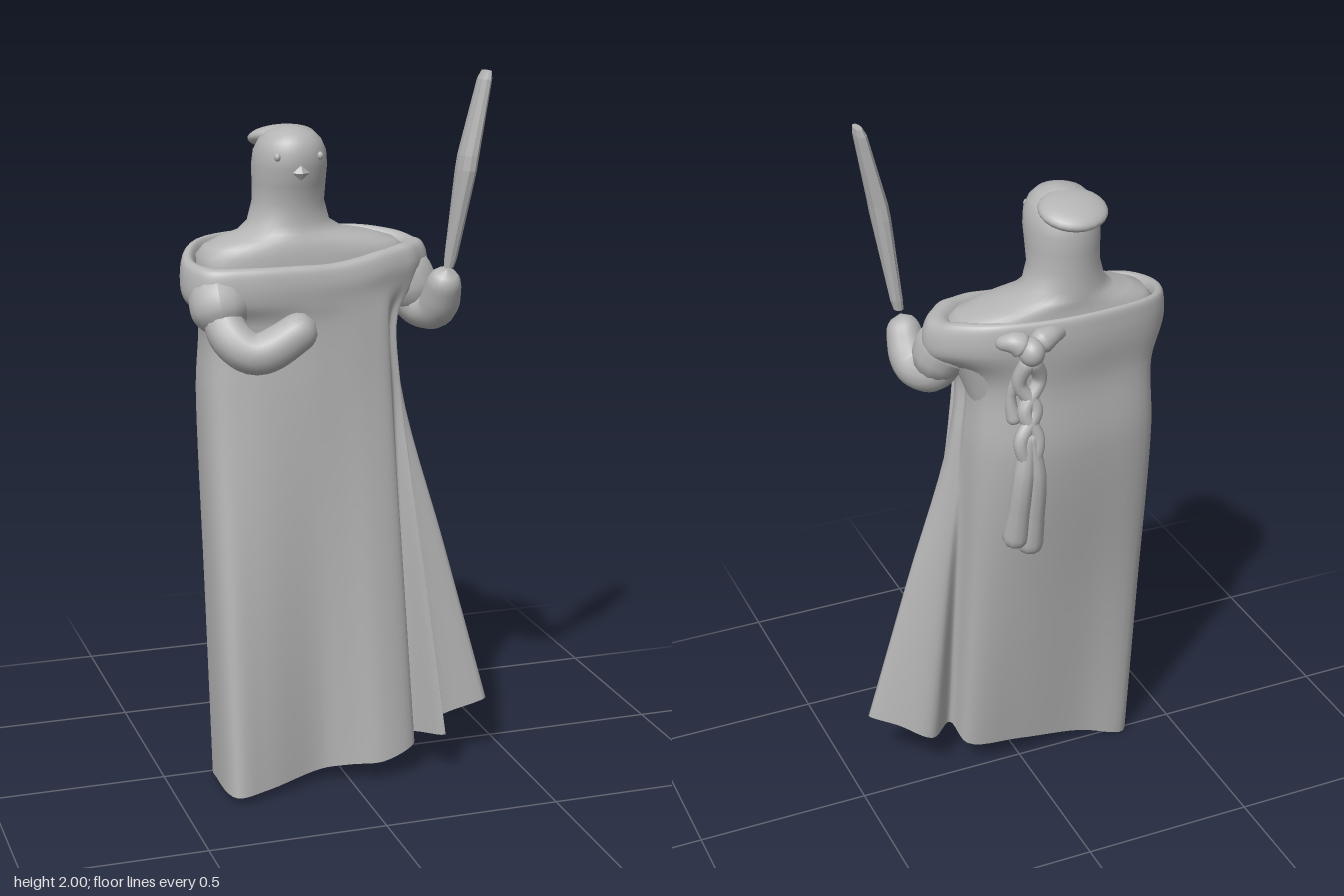
import * as THREE from 'three';

const V = (p) => new THREE.Vector3(...p);
const clay = new THREE.MeshStandardMaterial({ color: 0xb4b4b4 });
clay.name = 'clay grey';
const cloth = new THREE.MeshStandardMaterial({ color: 0xb4b4b4, side: THREE.DoubleSide });
cloth.name = 'cloth grey';

function add(parent, name, geometry, material = clay) {
  const mesh = new THREE.Mesh(geometry, material);
  mesh.name = name;
  parent.add(mesh);
  return mesh;
}

// Skin joining closed rings of points, optionally closed at both ends
function loft(rings, capped = true) {
  const n = rings[0].length, pos = [], idx = [];
  rings.forEach((r) => r.forEach((p) => pos.push(p.x, p.y, p.z)));
  for (let r = 0; r < rings.length - 1; r++) {
    for (let i = 0; i < n; i++) {
      const a = r * n + i, b = r * n + (i + 1) % n;
      idx.push(a, a + n, b, b, a + n, b + n);
    }
  }
  if (capped) {
    const last = (rings.length - 1) * n;
    for (let i = 1; i < n - 1; i++) {
      idx.push(0, i, i + 1, last, last + i + 1, last + i);
    }
  }
  const g = new THREE.BufferGeometry();
  g.setAttribute('position', new THREE.Float32BufferAttribute(pos, 3));
  g.setIndex(idx);
  g.computeVertexNormals();
  return g;
}

// Horizontal oval ring: [y, centre x, centre z, half width, half depth, squareness (1 = round)]
function oval([y, cx, cz, rx, rz, k = 1], n = 36) {
  const bend = (v) => Math.sign(v) * Math.abs(v) ** k;
  return Array.from({ length: n }, (_, i) => {
    const a = i / n * Math.PI * 2;
    return new THREE.Vector3(cx + rx * bend(Math.cos(a)), y, cz + rz * bend(Math.sin(a)));
  });
}

// Round-ended tube whose radius follows a list of values
function limb(points, radii, steps = 28, sides = 14) {
  const curve = new THREE.CatmullRomCurve3(points.map(V));
  const g = new THREE.TubeGeometry(curve, steps, 1, sides);
  const p = g.attributes.position, length = curve.getLength();
  for (let i = 0; i < p.count; i++) {
    const t = Math.floor(i / (sides + 1)) / steps;
    const c = curve.getPointAt(t), f = t * (radii.length - 1);
    const k = Math.min(Math.floor(f), radii.length - 2);
    let r = THREE.MathUtils.lerp(radii[k], radii[k + 1], f - k);
    const d = Math.min(t, 1 - t) * length;
    if (d < r) r = Math.sqrt(Math.max(0, r * r - (r - d) ** 2));
    const v = new THREE.Vector3().fromBufferAttribute(p, i).sub(c).multiplyScalar(r).add(c);
    p.setXYZ(i, v.x, v.y, v.z);
  }
  g.computeVertexNormals();
  return g;
}

function ball(parent, name, at, size) {
  const m = add(parent, name, new THREE.SphereGeometry(1, 24, 16));
  m.position.set(...at);
  m.scale.set(...size);
  return m;
}

// Robe outlines, running from the right side across the front to the left and back
const RIM = [
  [-0.43, 1.5, 0.03], [-0.39, 1.49, 0.13], [-0.27, 1.49, 0.165], [-0.12, 1.49, 0.17], [-0.03, 1.49, 0.165],
  [0.06, 1.5, 0.155], [0.12, 1.51, 0.14], [0.17, 1.515, 0.12], [0.21, 1.52, 0.1], [0.24, 1.52, 0.07],
  [0.265, 1.52, 0.04], [0.28, 1.52, 0], [0.275, 1.52, -0.03], [0.25, 1.53, -0.075], [0.16, 1.54, -0.15],
  [0.04, 1.54, -0.185], [-0.16, 1.54, -0.19], [-0.36, 1.53, -0.13]];
const WAIST = [
  [-0.38, 1.12, 0], [-0.36, 1.12, 0.1], [-0.27, 1.12, 0.14], [-0.12, 1.12, 0.16], [-0.03, 1.12, 0.16],
  [0.06, 1.12, 0.155], [0.13, 1.12, 0.14], [0.145, 1.12, 0.115], [0.17, 1.12, 0.11], [0.16, 1.12, 0.085],
  [0.185, 1.12, 0.065], [0.19, 1.12, 0.03], [0.175, 1.12, 0.01], [0.175, 1.12, -0.015], [0.155, 1.12, -0.1],
  [0.05, 1.12, -0.17], [-0.16, 1.12, -0.175], [-0.34, 1.12, -0.13]];
const HEM = [
  [-0.37, 0.02, 0.1], [-0.35, 0.02, 0.25], [-0.25, 0.025, 0.23], [-0.08, 0.04, 0.17], [0, 0.05, 0.19],
  [0.09, 0.06, 0.22], [0.19, 0.09, 0.19], [0.2, 0.1, 0.13], [0.265, 0.13, 0.245], [0.27, 0.14, 0.15],
  [0.43, 0.18, 0.135], [0.36, 0.17, 0.065], [0.27, 0.125, 0.025], [0.19, 0.12, 0.085], [0.165, 0.085, 0.01],
  [0, 0.06, 0], [-0.2, 0.03, 0], [-0.34, 0, -0.02]];

function robeGeometry() {
  const scaled = (p, s, dy) => new THREE.Vector3(-0.17 + (p[0] + 0.17) * s, p[1] + dy, -0.07 + (p[2] + 0.07) * s);
  const columns = RIM.map((p, i) => new THREE.CatmullRomCurve3([
    // lining, collar lip, then the skirt
    scaled(p, 0.8, -0.12), scaled(p, 0.81, -0.03), scaled(p, 0.88, 0), scaled(p, 0.96, -0.005),
    scaled(p, 1, -0.045), scaled(p, 0.985, -0.1),
    new THREE.Vector3(WAIST[i][0] * 0.97 - 0.005, 1.33, WAIST[i][2] * 0.98),
    V(WAIST[i]),
    V(WAIST[i]).lerp(V(HEM[i]), 0.5),
    V(HEM[i])]));
  const rings = [];
  for (let r = 0; r <= 54; r++) {
    const outline = new THREE.CatmullRomCurve3(columns.map((c) => c.getPoint(r / 54)), true);
    rings.push(outline.getPoints(108).slice(0, 108));
  }
  return loft(rings, false);
}

export function createModel() {
  const model = new THREE.Group();
  model.name = 'robedFigure';

  add(model, 'robe', robeGeometry(), cloth);

  // Torso, shoulders, neck and head as one smooth skin
  add(model, 'body', loft([
    [0.9, -0.1, -0.01, 0.22, 0.1, 0.8], [1.2, -0.1, -0.03, 0.23, 0.11, 0.8], [1.38, -0.08, -0.03, 0.28, 0.115, 0.75],
    [1.46, -0.075, -0.03, 0.3, 0.115, 0.7], [1.5, -0.075, -0.03, 0.295, 0.112, 0.7], [1.525, -0.08, -0.03, 0.27, 0.108, 0.75],
    [1.545, -0.09, -0.033, 0.215, 0.105, 0.85], [1.56, -0.105, -0.037, 0.15, 0.102],
    [1.585, -0.11, -0.04, 0.115, 0.096], [1.64, -0.11, -0.04, 0.1, 0.093],
    [1.69, -0.11, -0.033, 0.101, 0.102], [1.74, -0.11, -0.027, 0.103, 0.11], [1.78, -0.11, -0.022, 0.099, 0.106],
    [1.81, -0.11, -0.018, 0.085, 0.09], [1.83, -0.11, -0.016, 0.064, 0.068], [1.843, -0.11, -0.014, 0.03, 0.03],
    [1.845, -0.11, -0.014, 0.005, 0.005],
  ].map((r) => oval(r))));

  // Hair tilted down to the back with a scalloped fringe, beak and eyes
  const cap = ball(model, 'hairCap', [-0.11, 1.806, -0.097], [0.094, 0.032, 0.089]);
  cap.rotation.x = -0.24;
  for (const s of [-1, 0, 1]) {
    const lock = ball(model, 'hairFringe', [-0.11 + s * 0.055, 1.834 - Math.abs(s) * 0.018, -0.03], [0.032, 0.012, 0.035]);
    lock.rotation.z = -s * 0.5;
  }
  const beak = add(model, 'beak', new THREE.OctahedronGeometry(0.024));
  beak.position.set(-0.11, 1.73, 0.085);
  beak.scale.set(1, 0.85, 0.7);
  for (const s of [-1, 1]) ball(model, s < 0 ? 'rightEye' : 'leftEye', [-0.11 + s * 0.06, 1.772, 0.065], [0.009, 0.011, 0.01]);

  // Puffed sleeves hanging below the collar
  add(model, 'rightSleeve', limb(
    [[-0.32, 1.43, 0.03], [-0.34, 1.41, 0.08], [-0.335, 1.31, 0.13]], [0.07, 0.085, 0.085, 0.075]));
  add(model, 'leftSleeve', limb(
    [[0.15, 1.45, -0.01], [0.205, 1.425, 0.015], [0.245, 1.32, 0.045]], [0.07, 0.085, 0.075, 0.06]));

  // Arms
  add(model, 'rightArm', limb(
    [[-0.34, 1.4, 0.08], [-0.33, 1.31, 0.16], [-0.27, 1.27, 0.2], [-0.11, 1.35, 0.205]], [0.055, 0.057, 0.057, 0.05]));
  add(model, 'leftArm', limb(
    [[0.19, 1.42, 0.01], [0.24, 1.34, 0.04], [0.272, 1.34, 0.1], [0.277, 1.46, 0.175]], [0.055, 0.057, 0.055, 0.043]));

  // Upright blade held in the left hand
  const blade = add(model, 'blade', loft([
    [1.47, 0.278, 0.185, 0.014, 0.015], [1.5, 0.283, 0.187, 0.018, 0.02], [1.74, 0.312, 0.214, 0.025, 0.05],
    [1.78, 0.318, 0.215, 0.025, 0.049], [1.98, 0.362, 0.212, 0.017, 0.034], [2.0, 0.368, 0.211, 0.011, 0.027],
  ].map((r) => oval(r, 10))).toNonIndexed());
  blade.geometry.computeVertexNormals();

  // Knotted sash hanging at the back
  const sash = new THREE.Group();
  sash.name = 'sash';
  model.add(sash);
  ball(sash, 'knotCentre', [0.06, 1.48, -0.215], [0.035, 0.04, 0.04]);
  for (const s of [-1, 1]) {
    add(sash, 'bowLoop', limb(
      [[0.06, 1.48, -0.2], [0.05 + s * 0.05, 1.505, -0.195], [0.045 + s * 0.1, 1.5, -0.17]], [0.02, 0.036, 0.025, 0.015]));
    add(sash, 'cord', limb([
      [0.06, 1.46, -0.21], [0.055 + s * 0.03, 1.38, -0.19], [0.06 - s * 0.015, 1.3, -0.205],
      [0.07 + s * 0.025, 1.22, -0.225], [0.07, 1.13, -0.23]], [0.024, 0.02, 0.022, 0.02, 0.02], 36, 10));
    add(sash, 'sashTail', limb([
      [0.07, 1.25, -0.22], [0.07 + s * 0.018, 1.1, -0.225], [0.075 + s * 0.022, 0.86 + s * 0.015, -0.185]],
    [0.02, 0.03, 0.032, 0.04], 28, 10));
  }
  add(sash, 'cordEnd', limb(
    [[0.08, 1.42, -0.19], [0.1, 1.33, -0.17], [0.09, 1.25, -0.175]], [0.016, 0.014, 0.022]));

  // Legs and feet inside the robe
  for (const [side, x, y] of [['right', -0.25, 0.065], ['left', 0.09, 0.105]]) {
    add(model, side + 'Leg', limb([[x * 0.5 - 0.06, 1.05, -0.03], [x, y + 0.03, 0.1]], [0.08, 0.07, 0.05]));
    ball(model, side + 'Foot', [x, y, 0.125], [0.055, 0.045, 0.07]);
  }
  return model;
}
